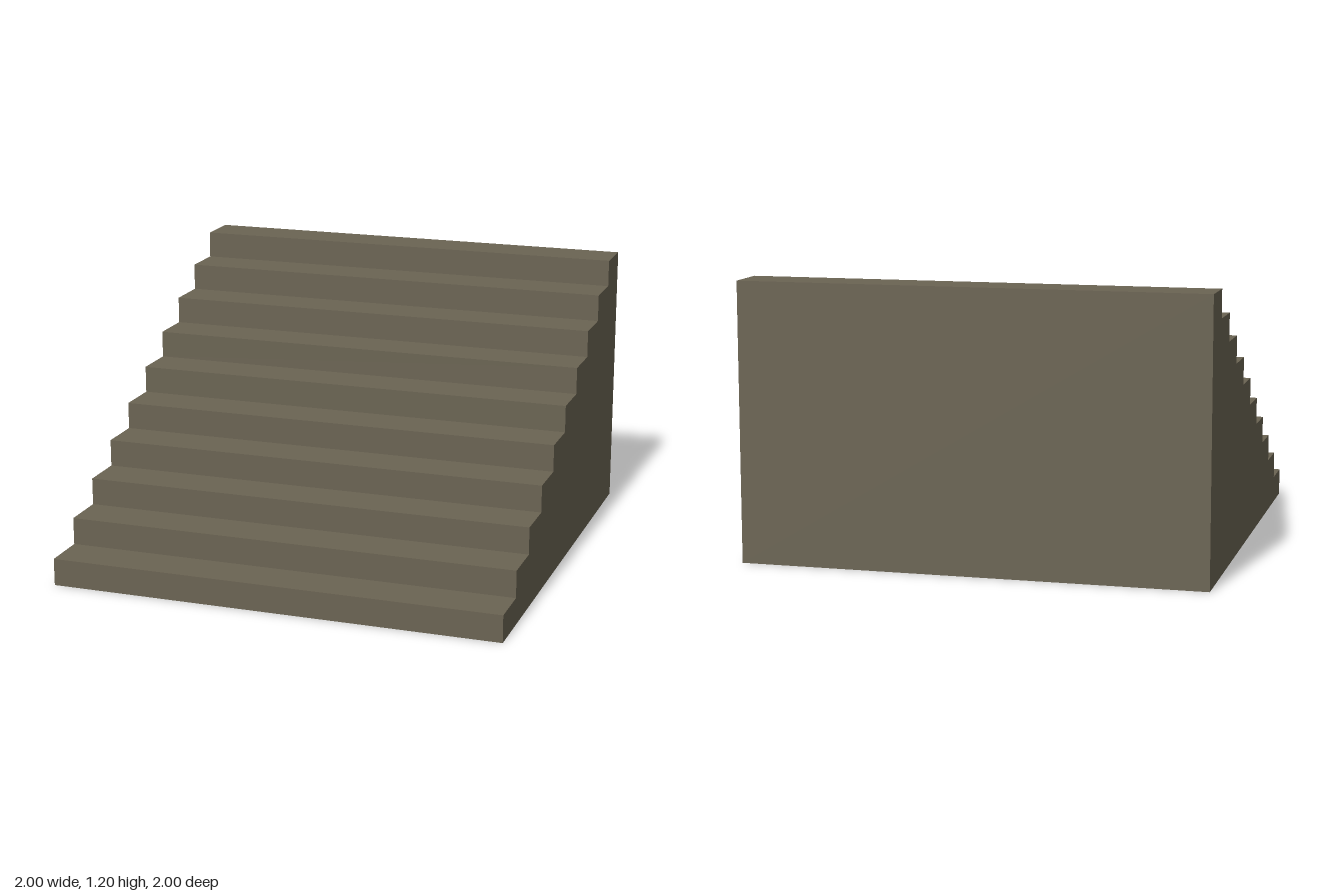
import * as THREE from 'three';

const STEPS = 10;
const WIDTH = 2;
const DEPTH = 2;
const HEIGHT = 1.2;

// Side profile of the flight: shape x becomes model z, lowest step at the front
function stairProfile() {
  const tread = DEPTH / STEPS;
  const riser = HEIGHT / STEPS;
  const shape = new THREE.Shape();
  shape.moveTo(-DEPTH / 2, 0);
  shape.lineTo(DEPTH / 2, 0);
  for (let i = 0; i < STEPS; i++) {
    const y = (i + 1) * riser;
    shape.lineTo(DEPTH / 2 - i * tread, y);
    shape.lineTo(DEPTH / 2 - (i + 1) * tread, y);
  }
  shape.closePath();
  return shape;
}

export function createModel() {
  const group = new THREE.Group();
  group.name = 'staircase';

  // Solid flight of steps, extruded across the width
  const geometry = new THREE.ExtrudeGeometry(stairProfile(), { depth: WIDTH, bevelEnabled: false });
  geometry.translate(0, 0, -WIDTH / 2);
  geometry.rotateY(-Math.PI / 2);

  const material = new THREE.MeshStandardMaterial({ color: 0x6b6453 });
  const steps = new THREE.Mesh(geometry, material);
  steps.name = 'steps';
  group.add(steps);

  return group;
}
